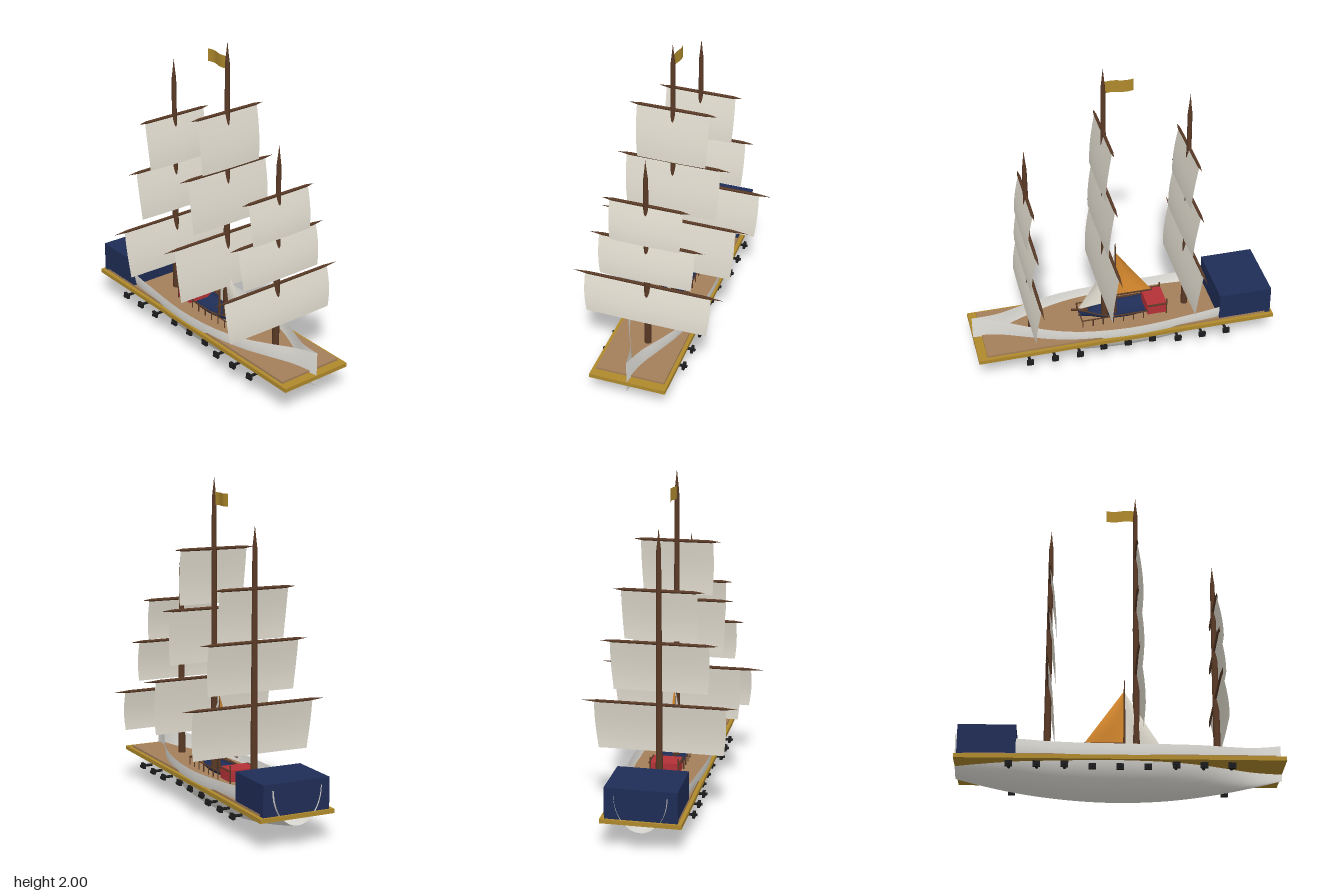
import * as THREE from 'three';

const paint = (name, color, side = THREE.FrontSide) => {
  const m = new THREE.MeshStandardMaterial({ color, side });
  m.name = name;
  return m;
};

// Smooth open surface from a rule f(u, v) -> [x, y, z]
function surface(nu, nv, f) {
  const pos = [], idx = [];
  for (let i = 0; i <= nu; i++)
    for (let j = 0; j <= nv; j++) pos.push(...f(i / nu, j / nv));
  for (let i = 0; i < nu; i++)
    for (let j = 0; j < nv; j++) {
      const a = i * (nv + 1) + j, b = a + nv + 1;
      idx.push(a, b, a + 1, b, b + 1, a + 1);
    }
  const g = new THREE.BufferGeometry();
  g.setAttribute('position', new THREE.Float32BufferAttribute(pos, 3));
  g.setIndex(idx);
  g.computeVertexNormals();
  return g;
}

// Half-elliptical hull shell, pointed at the bow, open at the stern
function hullGeometry(half, beam, keelRise, sheerMid, sheerRise) {
  const plan = new THREE.SplineCurve([
    [-1, 0.66], [-0.64, 0.89], [-0.4, 0.94], [-0.1, 1], [0.12, 0.97], [0.32, 0.88],
    [0.5, 0.7], [0.66, 0.44], [0.83, 0.15], [1, 0],
  ].map(p => new THREE.Vector2(...p)));
  return surface(48, 24, (u, v) => {
    const p = plan.getPoint(u), a = (v - 0.5) * Math.PI;
    const top = sheerMid + sheerRise * p.x * p.x, keel = keelRise * p.x * p.x;
    return [p.x * half, top - (top - keel) * Math.cos(a), -beam * Math.max(p.y, 0) * Math.sin(a)];
  });
}

export function createModel() {
  const ship = new THREE.Group();
  ship.name = 'sailingShip';
  const D = THREE.DoubleSide;
  const white = paint('hull white', 0xe6e4de, D);
  const canvas = paint('sail canvas', 0xe2ddd0, D);
  const gold = paint('gold trim', 0xb08a2c, D);
  const tan = paint('deck planks', 0xa5805a);
  const wood = paint('dark wood', 0x5a3a26);
  const navy = paint('navy blue', 0x1f2d56, D);
  const red = paint('cabin red', 0xb53238);
  const orange = paint('orange sail', 0xd98a2e, D);
  const black = paint('iron black', 0x1c1c1e);

  const add = (name, geo, mat, x = 0, y = 0, z = 0, parent = ship) => {
    const m = new THREE.Mesh(geo, mat);
    m.name = name;
    m.position.set(x, y, z);
    parent.add(m);
    return m;
  };
  // Box given by its lower and upper limits
  const box = (name, mat, x0, x1, y0, y1, z0, z1, parent) =>
    add(name, new THREE.BoxGeometry(x1 - x0, y1 - y0, z1 - z0), mat,
      (x0 + x1) / 2, (y0 + y1) / 2, (z0 + z1) / 2, parent);
  const rod = (name, mat, a, b, r, parent) => {
    const p = new THREE.Vector3(...a), d = new THREE.Vector3(...b).sub(p);
    const m = add(name, new THREE.CylinderGeometry(r, r, d.length(), 8), mat, 0, 0, 0, parent);
    m.position.copy(p).addScaledVector(d, 0.5);
    m.quaternion.setFromUnitVectors(new THREE.Vector3(0, 1, 0), d.normalize());
    return m;
  };

  // Hull, wale plank, deck and stern cabin
  add('hull', hullGeometry(0.94, 0.23, 0.13, 0.265, 0.08), white);
  box('walePlank', gold, -0.94, 0.94, 0.17, 0.195, -0.235, 0.235);
  box('deck', tan, -0.89, 0.885, 0.195, 0.208, -0.212, 0.212);
  box('sternCabin', navy, -0.925, -0.592, 0.193, 0.38, -0.21, 0.21);

  // Guns: the middle three sit closer to the hull
  for (let i = -4; i <= 4; i++)
    for (const s of [-1, 1]) {
      const z = Math.abs(i) < 2 ? 0.213 : 0.247;
      add('gunPort', new THREE.BoxGeometry(0.042, 0.034, 0.016), black, i * 0.157, 0.132, s * z);
      rod('gunBarrel', black, [i * 0.157, 0.132, s * (z - 0.06)], [i * 0.157, 0.132, s * (z + 0.02)], 0.009);
    }

  // Yard lying across the ship, tapering to points
  const yardGeometry = h => new THREE.LatheGeometry(
    [[0, -h], [0.004, -h * 0.9], [0.009, -h * 0.78], [0.01, 0], [0.009, h * 0.78], [0.004, h * 0.9], [0, h]]
      .map(p => new THREE.Vector2(...p)), 8).rotateX(Math.PI / 2);

  // Square sail that bellies forward towards its foot
  const sailGeometry = (w, h) => surface(12, 12, (u, v) => {
    const s = u * 2 - 1;
    return [0.036 * Math.sin(v * Math.PI / 2) + 0.004 * v * (1 - s * s), -h * v,
      -s * w * (1 - 0.04 * v + 0.02 * Math.sin(v * Math.PI))];
  });

  // Masts, each with three yards and sails
  const masts = [
    { name: 'aftMast', x: -0.42, top: 1.755, yards: [0.71, 1.08, 1.39], drop: 0.3 },
    { name: 'mainMast', x: 0.1, top: 2, yards: [0.79, 1.21, 1.57], drop: 0.335 },
    { name: 'foreMast', x: 0.57, top: 1.52, yards: [0.64, 0.95, 1.21], drop: 0.252 },
  ];
  for (const { name, x, top, yards, drop } of masts) {
    const rig = new THREE.Group();
    rig.name = name;
    rig.position.x = x;
    ship.add(rig);
    add('mastPole', new THREE.LatheGeometry(
      [[0, 0.2], [0.022, 0.2], [0.019, 0.75], [0.014, top - 0.13], [0.007, top - 0.07], [0, top]]
        .map(p => new THREE.Vector2(...p)), 12), wood, 0, 0, 0, rig);
    yards.forEach((y, i) => {
      const half = [0.47, 0.35, 0.265][i];
      add('yard', yardGeometry(half), wood, 0, y, 0, rig);
      add('squareSail', sailGeometry(half * 0.83, drop), canvas, 0.002, y - 0.004, 0, rig);
    });
  }

  // Flag streaming aft from the main mast
  add('flag', surface(16, 2, (u, v) =>
    [0.095 - 0.175 * u, 1.832 + 0.076 * v, 0.008 * Math.sin(u * Math.PI * 2)]), gold);

  // Small sailing boat stowed on deck
  const boat = new THREE.Group();
  boat.name = 'deckBoat';
  ship.add(boat);
  add('boatHull', hullGeometry(0.27, 0.088, 0.02, 0.045, 0.02), navy, 0, 0.208, 0, boat);
  box('boatCabin', red, -0.283, -0.157, 0.225, 0.295, -0.088, 0.088, boat);
  for (const s of [-1, 1]) {
    rod('cabinRail', wood, [-0.285, 0.293, s * 0.09], [-0.16, 0.293, s * 0.09], 0.006, boat);
    rod('sternPost', wood, [-0.28, 0.215, s * 0.085], [-0.28, 0.325, s * 0.085], 0.005, boat);
    rod('sideRail', wood, [-0.16, 0.258, s * 0.09], [0.265, 0.258, s * 0.09], 0.004, boat);
    for (let i = 0; i < 7; i++)
      rod('railPost', wood, [-0.13 + i * 0.065, 0.208, s * 0.09], [-0.13 + i * 0.065, 0.258, s * 0.09], 0.004, boat);
    // Gunwale curving in to the bow
    add('gunwale', new THREE.TubeGeometry(new THREE.CatmullRomCurve3([
      [-0.15, 0.254, 0.086], [0.03, 0.253, 0.086], [0.135, 0.259, 0.062], [0.22, 0.268, 0.018], [0.27, 0.275, 0],
    ].map(p => new THREE.Vector3(p[0], p[1], s * p[2]))), 20, 0.004, 6), wood, 0, 0, 0, boat);
  }
  rod('bowRail', wood, [0.265, 0.258, -0.09], [0.265, 0.258, 0.09], 0.004, boat);
  rod('bowsprit', wood, [0.21, 0.268, 0], [0.315, 0.29, 0], 0.008, boat);
  add('boatMast', new THREE.CylinderGeometry(0.003, 0.009, 0.545, 8), wood, 0.03, 0.48, 0, boat);
  rod('boom', wood, [-0.205, 0.352, 0], [0.035, 0.352, 0], 0.006, boat);

  // Triangular fore-and-aft sails with a slight belly
  const triangle = (luff, foot0, foot1, top) => surface(10, 10, (u, v) => {
    const k = 1 - v;
    return [luff + (foot1[0] - luff) * u * k,
      foot0 + (foot1[1] - foot0) * u * k + (top - foot0) * v,
      0.014 * Math.sin(Math.PI * u) * Math.sin(Math.PI * Math.min(1, k))];
  });
  add('boatMainsail', triangle(0.026, 0.358, [-0.2, 0.358], 0.68), orange, 0, 0, 0, boat);
  add('jib', triangle(0.035, 0.31, [0.275, 0.282], 0.67), canvas, 0, 0, 0, boat);

  return ship;
}
